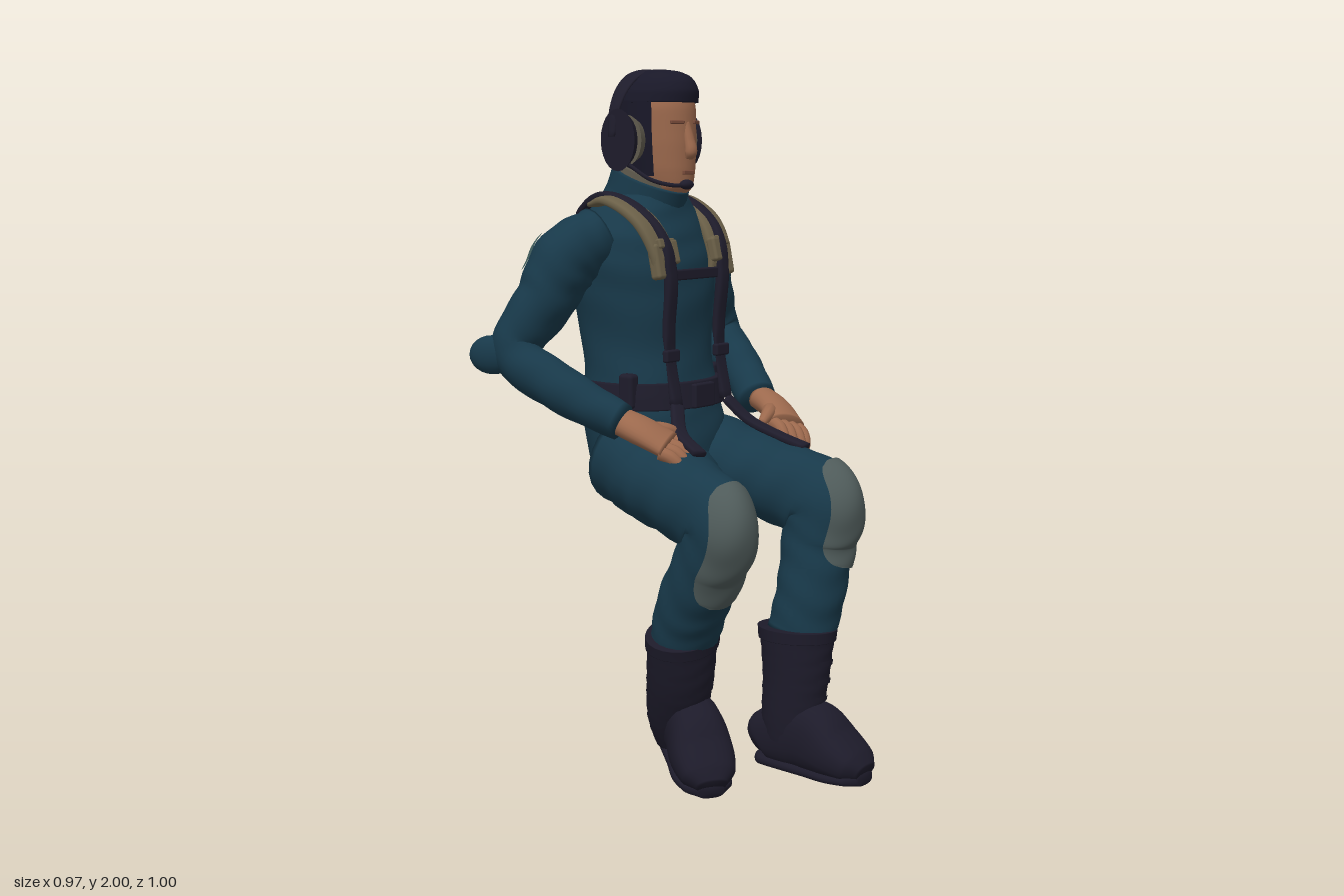
import * as THREE from 'three';
import { RoundedBoxGeometry } from 'three/addons/geometries/RoundedBoxGeometry.js';

const mat = (name, color) => Object.assign(new THREE.MeshStandardMaterial({ color }), { name });
const V = (x, y, z) => new THREE.Vector3(x, y, z);
const X = V(1, 0, 0), Y = V(0, 1, 0), Z = V(0, 0, 1);
const MID = -0.015; // mirror plane of head and harness

// Sweeps an oval along rows of [x, y, z, radiusN, radiusRef]. Angle 0 lies on tangent x ref.
function sweep(rows, o = {}) {
  const { axis, u0 = 0, u1 = 1, arc, off = 0, power = 1, fold = 0, steps = rows.length * 6, sides = 24 } = o;
  const P = rows.map(r => V(r[0], r[1], r[2]));
  const m = P[Math.floor(P.length / 2)];
  const ref = o.ref || m.clone().sub(P[0]).cross(P[P.length - 1].clone().sub(m)).normalize();
  const path = new THREE.CatmullRomCurve3(P);
  const radii = new THREE.CatmullRomCurve3(rows.map(r => V(r[3], r[4], 0)));
  const pw = v => Math.sign(v) * Math.abs(v) ** power;
  const cols = arc ? sides + 1 : sides, pos = [], idx = [];
  const first = arc ? 0 : -1, last = arc ? steps : steps + 1; // closed sweeps get end caps
  for (let i = first; i <= last; i++) {
    const s = THREE.MathUtils.clamp(i / steps, 0, 1), u = u0 + (u1 - u0) * s;
    const c = path.getPoint(u), r = radii.getPoint(u);
    const t = axis || path.getTangent(u);
    const b = ref.clone().addScaledVector(t, -ref.dot(t)).normalize();
    const n = t.clone().cross(b).normalize();
    const open = i < 0 || i > steps ? 0 : 1;
    const taper = o.round ? 0.35 + 0.65 * Math.sqrt(Math.max(0, 1 - (2 * s - 1) ** 4)) : 1;
    for (let j = 0; j < cols; j++) {
      const a = arc ? (arc[0] + arc[1]) / 2 + (arc[1] - arc[0]) * taper * (j / sides - 0.5) : j / sides * Math.PI * 2;
      const k = open * (1 + fold * Math.sin(u * 55 + 2 * Math.sin(a * 2)));
      const p = c.clone().addScaledVector(n, k * (r.x + off) * pw(Math.cos(a)))
        .addScaledVector(b, k * (r.y + off) * pw(Math.sin(a)));
      pos.push(p.x, p.y, p.z);
    }
  }
  for (let i = 0; i < last - first; i++) for (let j = 0; j < sides; j++) {
    const j2 = arc ? j + 1 : (j + 1) % sides;
    const a = i * cols + j, b = i * cols + j2, c = a + cols, d = b + cols;
    idx.push(a, c, b, b, c, d);
  }
  const g = new THREE.BufferGeometry();
  g.setAttribute('position', new THREE.Float32BufferAttribute(pos, 3));
  g.setIndex(idx);
  g.computeVertexNormals();
  return g;
}

// Horizontal ring from [y, frontZ, backZ, halfWidth]
const ring = ([y, f, b, w]) => [MID + 0.005, y, (f + b) / 2, (f - b) / 2, w];

export function createModel() {
  const root = new THREE.Group();
  const suit = mat('suit blue', 0x18394a), strap = mat('harness dark', 0x1e1c2b), boot = mat('boot black', 0x1d1b2a);
  const hair = mat('hair black', 0x191828), skin = mat('skin', 0x9c694d), tan = mat('pouch tan', 0x6b6048);
  const pad = mat('pad grey', 0x4f5b5a), shade = mat('lip brown', 0x7a4c3b), faded = mat('faded patch', 0x43605f);
  const cushion = mat('cushion grey', 0x605b4e);
  pad.side = hair.side = suit.side = faded.side = THREE.DoubleSide;
  const add = (name, geo, m, parent = root) => {
    const mesh = new THREE.Mesh(geo, m);
    mesh.name = name;
    parent.add(mesh);
    return mesh;
  };
  const box = (name, w, h, d, x, y, z, m, rx = 0) => {
    const b = add(name, new RoundedBoxGeometry(w, h, d, 2, Math.min(w, h, d) * 0.3), m);
    b.position.set(x, y, z);
    b.rotation.x = rx;
    return b;
  };
  const ball = (name, m, x, y, z, sx, sy, sz) => {
    const b = add(name, new THREE.SphereGeometry(1, 16, 12), m);
    b.position.set(x, y, z);
    b.scale.set(sx, sy, sz);
    return b;
  };

  // Torso, collar and belt
  const torso = [[0.75, -0.08, -0.22, 0.07], [0.8, -0.02, -0.31, 0.16], [0.9, 0, -0.345, 0.205], [1, -0.01, -0.365, 0.21],
    [1.08, -0.03, -0.375, 0.205], [1.2, -0.05, -0.39, 0.195], [1.35, -0.045, -0.42, 0.21], [1.45, -0.05, -0.425, 0.22],
    [1.53, -0.07, -0.41, 0.21], [1.6, -0.095, -0.38, 0.165], [1.65, -0.11, -0.34, 0.105]].map(ring);
  const torsoOpt = { axis: Y, ref: X, power: 0.9, sides: 40 };
  add('torso', sweep(torso, { ...torsoOpt, fold: 0.008 }), suit);
  for (const s of [1, -1])
    add('hipPocket', sweep(torso, { ...torsoOpt, u0: 0.13, u1: 0.36, arc: s > 0 ? [0.7, 1.5] : [-1.5, -0.7], off: 0.014, round: true }), suit);
  add('collar', sweep([[MID, 1.57, -0.25, 0.135, 0.125], [MID, 1.64, -0.22, 0.125, 0.103], [MID, 1.695, -0.2, 0.126, 0.096]], { ref: X }), suit);
  add('collarLining', sweep([[MID, 1.65, -0.215, 0.118, 0.09], [MID, 1.715, -0.192, 0.116, 0.089]], { ref: X }), cushion);
  add('belt', sweep([[1.045, -0.012, -0.385, 0.22], [1.08, -0.018, -0.39, 0.222], [1.12, -0.025, -0.39, 0.218]].map(ring), torsoOpt), strap);
  box('beltBuckle', 0.09, 0.07, 0.02, MID, 1.08, -0.012, strap);

  // Legs with knee pads
  const legs = {
    left: [[0.1, 0.9, -0.2, 0.14, 0.13], [0.135, 0.855, -0.02, 0.13, 0.15], [0.15, 0.82, 0.14, 0.12, 0.122],
      [0.147, 0.77, 0.285, 0.125, 0.098], [0.143, 0.66, 0.28, 0.105, 0.1], [0.12, 0.52, 0.275, 0.1, 0.1], [0.1, 0.4, 0.255, 0.1, 0.092]],
    right: [[-0.13, 0.9, -0.2, 0.14, 0.13], [-0.18, 0.855, -0.02, 0.13, 0.15], [-0.245, 0.825, 0.12, 0.12, 0.118],
      [-0.277, 0.77, 0.24, 0.125, 0.092], [-0.265, 0.66, 0.2, 0.105, 0.093], [-0.24, 0.53, 0.125, 0.1, 0.1], [-0.22, 0.42, 0.08, 0.085, 0.1]],
  };
  for (const side in legs) {
    add(side + 'Leg', sweep(legs[side], { fold: 0.018, steps: 60 }), suit);
    add(side + 'KneePad', sweep(legs[side], { fold: 0.018, u0: 0.46, u1: 0.735, arc: [-1, 1], off: 0.008, round: true }), pad);
  }

  // Boots: shaft, cuff, laces, foot and sole
  const shafts = {
    left: [[0.09, 0.42, 0.25, 0.112, 0.103], [0.083, 0.28, 0.25, 0.1, 0.088], [0.075, 0.15, 0.24, 0.09, 0.074], [0.08, 0.06, 0.235, 0.08, 0.068]],
    right: [[-0.225, 0.44, 0.08, 0.088, 0.115], [-0.2, 0.3, 0.05, 0.092, 0.1], [-0.165, 0.18, 0.01, 0.085, 0.085], [-0.135, 0.1, 0, 0.075, 0.072]],
  };
  const foot = [[0, 0.06, -0.1, 0.04, 0.045], [0, 0.08, -0.08, 0.075, 0.063], [0, 0.1, 0, 0.098, 0.073], [0, 0.108, 0.08, 0.105, 0.08],
    [0, 0.078, 0.16, 0.075, 0.09], [0, 0.052, 0.225, 0.048, 0.078], [0, 0.036, 0.258, 0.026, 0.042]];
  for (const side in shafts) {
    add(side + 'BootShaft', sweep(shafts[side], { ref: X, fold: 0.012 }), boot);
    add(side + 'BootCuff', sweep(shafts[side], { ref: X, u1: 0.08, off: 0.006 }), boot);
    for (let i = 0; i < 5; i++)
      add(side + 'BootLace', sweep(shafts[side], { ref: X, u0: 0.2 + i * 0.12, u1: 0.235 + i * 0.12, arc: [-0.35, 0.35], off: 0.005, steps: 3, sides: 6 }), strap);
    const g = new THREE.Group();
    g.name = side + 'Foot';
    g.rotation.order = 'YXZ';
    if (side === 'left') g.position.set(0.08, 0, 0.235);
    else { g.position.set(-0.135, 0.058, 0.005); g.rotation.set(0.22, -0.58, 0); }
    add('upper', sweep(foot, { ref: X, power: 0.82 }), boot, g);
    add('sole', sweep(foot.map(([x, , z, , w]) => [x, 0.018, z, 0.018, w - 0.006]), { ref: X, axis: Z, power: 0.7 }), boot, g);
    root.add(g);
  }

  // Arms, elbow pads, faded shoulder patches
  const arms = {
    left: [[0.15, 1.515, -0.26, 0.09, 0.12], [0.25, 1.465, -0.27, 0.094, 0.115], [0.322, 1.355, -0.28, 0.084, 0.098],
      [0.395, 1.215, -0.28, 0.068, 0.078], [0.37, 1.12, -0.17, 0.066, 0.066], [0.305, 1.03, -0.05, 0.052, 0.058]],
    right: [[-0.17, 1.515, -0.27, 0.09, 0.12], [-0.262, 1.465, -0.305, 0.094, 0.115], [-0.322, 1.355, -0.335, 0.084, 0.098],
      [-0.397, 1.215, -0.38, 0.068, 0.078], [-0.38, 1.12, -0.23, 0.066, 0.066], [-0.315, 1.03, -0.06, 0.052, 0.058]],
  };
  for (const side in arms) {
    const s = side === 'left' ? 1 : -1, dz = s > 0 ? 0 : -0.1;
    add(side + 'Arm', sweep(arms[side], { fold: 0.02, steps: 54 }), suit);
    const patch = s > 0 ? { u0: 0.19, u1: 0.28, arc: [-0.9, -0.6] } : { u0: 0.2, u1: 0.33, arc: [0.25, 0.75] };
    add(side + 'ShoulderPatch', sweep(arms[side], { fold: 0.02, off: 0.005, round: true, steps: 8, ...patch }), faded);
    const tip = ball(side + 'ElbowPad', suit, s * 0.444, 1.205, -0.325 + dz, 0.036, 0.055, 0.07);
    tip.rotation.y = -s * 0.35;
  }

  // Hands resting on the thighs
  for (const s of [1, -1]) {
    const h = new THREE.Group();
    h.name = s > 0 ? 'leftHand' : 'rightHand';
    h.position.z = s > 0 ? 0.03 : 0;
    const wide = V(s * 0.9, -0.25, 0.3).normalize();
    const at = (x, y, z, a, b) => [s * x, y, z, a, b];
    add('palm', sweep([at(0.312, 1.035, -0.075, 0.038, 0.044), at(0.295, 1.01, -0.01, 0.036, 0.056), at(0.262, 0.972, 0.06, 0.028, 0.062)], { ref: wide }), skin, h);
    for (let i = 0; i < 4; i++) {
      const k = (i - 1.5) * 0.031, x = 0.262 + k * 0.9, y = 0.968 - k * 0.25, z = 0.05 + k * 0.3, l = i === 3 ? 0.8 : 1;
      add('finger', sweep([at(x, y, z, 0.02, 0.018), at(x - 0.012, y - 0.012, z + 0.035 * l, 0.019, 0.018),
        at(x - 0.024, y - 0.045 * l, z + 0.06 * l, 0.017, 0.016), at(x - 0.03, y - 0.08 * l, z + 0.066 * l, 0.011, 0.011)], { ref: wide, sides: 10 }), skin, h);
    }
    add('thumb', sweep([at(0.275, 1.01, -0.01, 0.024, 0.026), at(0.22, 1.005, 0.02, 0.021, 0.021), at(0.165, 0.982, 0.035, 0.012, 0.012)], { ref: Y, sides: 10 }), skin, h);
    root.add(h);
  }

  // Head: face, nose, mouth, brows
  const skull = [[1.635, -0.1, -0.2, 0.045], [1.67, -0.068, -0.25, 0.073], [1.72, -0.062, -0.28, 0.088], [1.8, -0.06, -0.3, 0.097],
    [1.88, -0.062, -0.305, 0.099], [1.93, -0.07, -0.3, 0.088]].map(ring);
  add('face', sweep(skull, { axis: Y, ref: X, sides: 32 }), skin);
  add('nose', sweep([[MID, 1.85, -0.074, 0.012, 0.014], [MID, 1.8, -0.06, 0.014, 0.018], [MID, 1.768, -0.054, 0.017, 0.02], [MID, 1.75, -0.062, 0.01, 0.014]], { ref: X, sides: 12 }), skin);
  box('mouth', 0.045, 0.012, 0.009, MID, 1.71, -0.064, shade);
  for (const s of [1, -1]) box('brow', 0.045, 0.01, 0.009, MID + s * 0.042, 1.85, -0.069, shade).rotation.y = s * 0.35;

  // Hair: domed cap above, open around the face below
  const locks = [[1.7, -0.07, -0.285, 0.09], [1.8, -0.055, -0.312, 0.104], [1.91, -0.055, -0.316, 0.106]].map(ring);
  add('backHair', sweep(locks, { axis: Y, ref: X, arc: [-2.05, 2.05], sides: 30 }), hair);
  add('topHair', sweep([[1.905, -0.055, -0.316, 0.106], [1.935, -0.05, -0.312, 0.1], [1.962, -0.058, -0.298, 0.086],
    [1.98, -0.075, -0.275, 0.066], [1.993, -0.11, -0.245, 0.04], [1.998, -0.15, -0.21, 0.015]].map(ring), { axis: Y, ref: X, sides: 32 }), hair);

  // Headset: band, ear cups, cushions, microphone
  const band = [];
  for (let i = 0; i <= 8; i++) {
    const a = Math.PI * i / 8;
    band.push([MID + 0.155 * Math.cos(a), 1.81 + 0.183 * Math.sin(a), -0.215, 0.007, 0.012 + 0.018 * Math.sin(a)]);
  }
  add('headBand', sweep(band, { ref: Z, steps: 40, sides: 12 }), strap);
  for (const s of [1, -1]) for (const [name, m, r, w, x, z] of [['earCup', strap, 0.062, 0.03, 0.138, -0.195], ['earCushion', cushion, 0.05, 0.03, 0.112, -0.18]]) {
    const c = add(name, new THREE.CylinderGeometry(r * (s > 0 ? 0.8 : 1), r * (s > 0 ? 1 : 0.8), w, 24), m);
    c.rotation.z = Math.PI / 2;
    c.scale.x = 1.4;
    c.position.set(MID + s * x, 1.8, z);
  }
  const boom = new THREE.CatmullRomCurve3([V(-0.155, 1.74, -0.18), V(-0.135, 1.69, -0.1), V(-0.1, 1.675, -0.05), V(-0.05, 1.675, -0.035)]);
  add('microphoneBoom', new THREE.TubeGeometry(boom, 20, 0.006, 8), strap);
  ball('microphone', strap, -0.06, 1.677, -0.034, 0.026, 0.014, 0.016);

  // Harness: straps from the mid back over the shoulders to the belt, with tan pads and pouches
  for (const s of [1, -1]) {
    const at = (x, y, z, a, b) => [MID + s * x, y, z, a, b];
    add('shoulderStrap', sweep([at(0, 1.53, -0.408, 0.012, 0.024), at(0.06, 1.565, -0.392, 0.012, 0.026), at(0.11, 1.615, -0.34, 0.012, 0.026), at(0.13, 1.645, -0.26, 0.012, 0.024),
      at(0.135, 1.59, -0.115, 0.014, 0.022), at(0.12, 1.45, -0.037, 0.014, 0.022), at(0.115, 1.25, -0.043, 0.011, 0.022), at(0.115, 1.06, -0.017, 0.011, 0.022)], { ref: X, power: 0.6, steps: 60 }), strap);
    add('strapPad', sweep([at(0.145, 1.62, -0.28, 0.008, 0.042), at(0.148, 1.632, -0.22, 0.014, 0.05), at(0.142, 1.575, -0.108, 0.016, 0.05),
      at(0.13, 1.48, -0.053, 0.016, 0.048), at(0.125, 1.42, -0.05, 0.01, 0.046)], { ref: X, power: 0.6 }), tan);
    box('pouch', 0.036, 0.1, 0.035, MID + s * 0.157, 1.465, -0.052, tan, -0.2);
    box('pouch', 0.034, 0.07, 0.03, MID + s * 0.098, 1.49, -0.045, tan, -0.25);
    box('pouchFlap', 0.07, 0.028, 0.02, MID + s * 0.125, 1.515, -0.048, tan, -0.3);
    box('strapBuckle', 0.06, 0.035, 0.02, MID + s * 0.115, 1.2, -0.035, strap);
    box('beltPouch', 0.04, 0.1, 0.05, MID + s * 0.19, 1.1, -0.13, strap);
  }
  box('chestStrap', 0.24, 0.03, 0.016, MID, 1.425, -0.04, strap);
  for (const [y, w] of [[1.44, 0.15], [1.48, 0.19]]) box('backStrap', w, 0.025, 0.025, MID, y, -0.412, strap);

  // Straps running down over the thighs
  add('leftThighStrap', sweep([[0.1, 1.06, -0.015, 0.01, 0.022], [0.13, 0.997, 0.045, 0.01, 0.022], [0.16, 0.955, 0.13, 0.01, 0.022], [0.17, 0.928, 0.22, 0.01, 0.022]], { ref: X, power: 0.6 }), strap);
  add('rightThighStrap', sweep([[-0.13, 1.06, -0.015, 0.01, 0.022], [-0.19, 0.995, 0.045, 0.01, 0.022], [-0.24, 0.955, 0.15, 0.01, 0.022]], { ref: X, power: 0.6 }), strap);
  return root;
}
